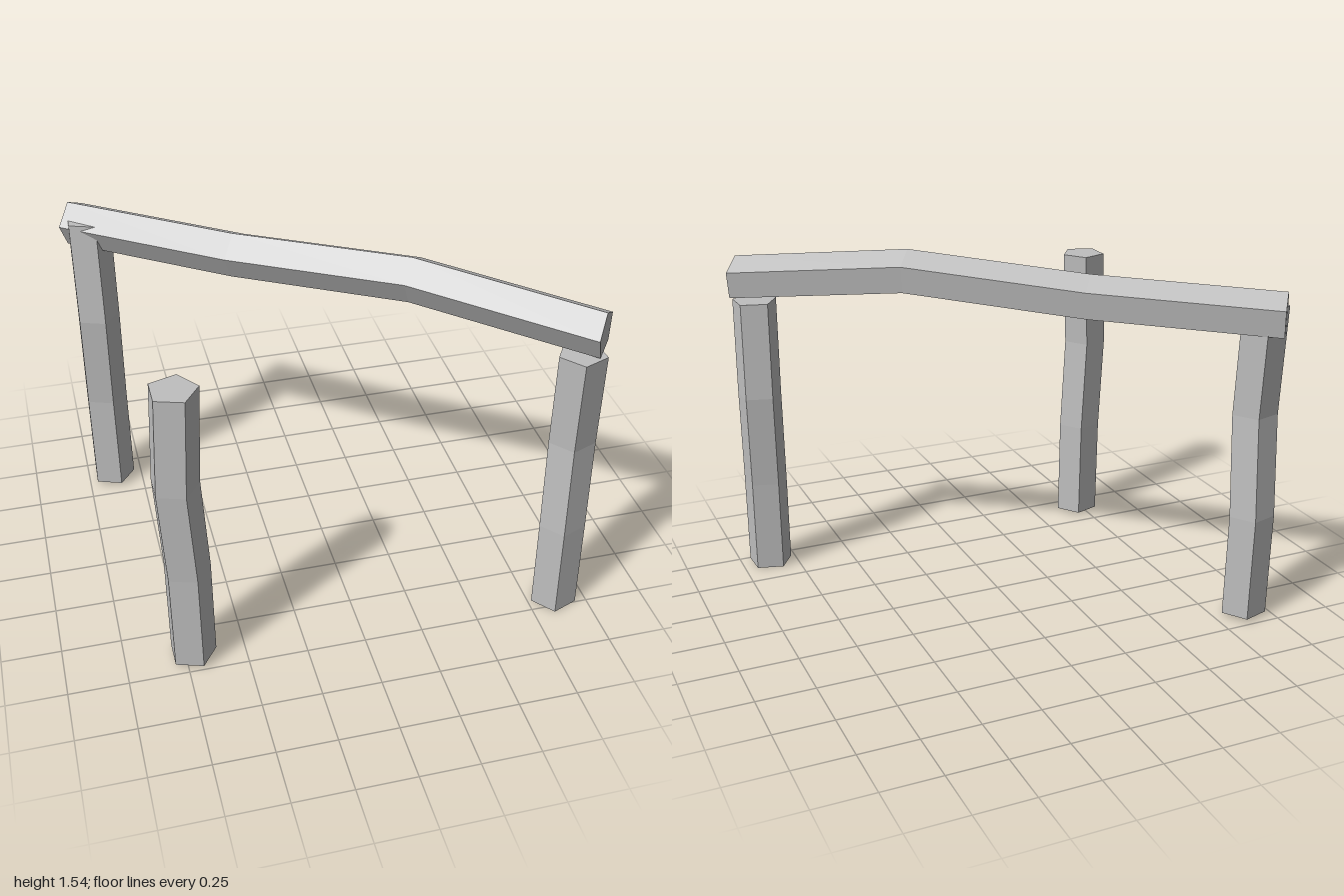
import * as THREE from 'three';

const SIDES = 5, RADIUS = 0.1;

// Bent pentagonal prism: the same cross-section (spanned by u and v) at every path point.
// u x v points along the path.
function bentPrism(path, phase, u, v) {
  const rings = path.map(([x, y, z]) => {
    const centre = new THREE.Vector3(x, y, z), ring = [];
    for (let k = 0; k < SIDES; k++) {
      const a = THREE.MathUtils.degToRad(phase + (k * 360) / SIDES);
      ring.push(centre.clone()
        .addScaledVector(u, RADIUS * Math.cos(a))
        .addScaledVector(v, RADIUS * Math.sin(a)));
    }
    return ring;
  });
  const pos = [];
  const tri = (...pts) => pts.forEach((p) => pos.push(p.x, p.y, p.z));
  // Side walls
  for (let i = 0; i < rings.length - 1; i++) {
    for (let k = 0; k < SIDES; k++) {
      const n = (k + 1) % SIDES, lo = rings[i], hi = rings[i + 1];
      tri(lo[k], lo[n], hi[n]);
      tri(lo[k], hi[n], hi[k]);
    }
  }
  // End caps
  const first = rings[0], last = rings[rings.length - 1];
  for (let k = 1; k < SIDES - 1; k++) {
    tri(first[0], first[k + 1], first[k]);
    tri(last[0], last[k], last[k + 1]);
  }
  const geo = new THREE.BufferGeometry();
  geo.setAttribute('position', new THREE.Float32BufferAttribute(pos, 3));
  geo.computeVertexNormals();
  return geo;
}

export function createModel() {
  const model = new THREE.Group();
  model.name = 'postFrame';
  const stone = new THREE.MeshStandardMaterial({ color: 0xbfbfbf, flatShading: true });
  stone.name = 'paleGrey';

  const X = new THREE.Vector3(1, 0, 0);
  const Y = new THREE.Vector3(0, 1, 0);
  const Z = new THREE.Vector3(0, 0, 1);

  const add = (name, path, phase, u, v) => {
    const mesh = new THREE.Mesh(bentPrism(path, phase, u, v), stone);
    mesh.name = name;
    model.add(mesh);
  };

  // Upright posts, slightly crooked
  add('freeStandingPost', [
    [-0.72, 0.015, 0.65], [-0.722, 0.47, 0.645], [-0.745, 0.9, 0.65], [-0.725, 1.335, 0.643],
  ], 90, Z, X);
  add('frontLeftPost', [
    [0.867, 0, 0.69], [0.868, 0.42, 0.685], [0.875, 0.84, 0.665], [0.867, 1.268, 0.69],
  ], 57, Z, X);
  add('backRightPost', [
    [-0.884, 0.018, -0.643], [-0.884, 0.48, -0.655], [-0.884, 0.93, -0.627], [-0.884, 1.4, -0.655],
  ], 88, Z, X);

  // Diagonal beam resting on two posts
  const across = new THREE.Vector3(-0.608, 0, 0.794);
  add('crossBeam', [
    [0.938, 1.366, 0.72], [0.31, 1.438, 0.25], [-0.315, 1.378, -0.23], [-0.945, 1.358, -0.725],
  ], 9, across, Y);

  return model;
}
